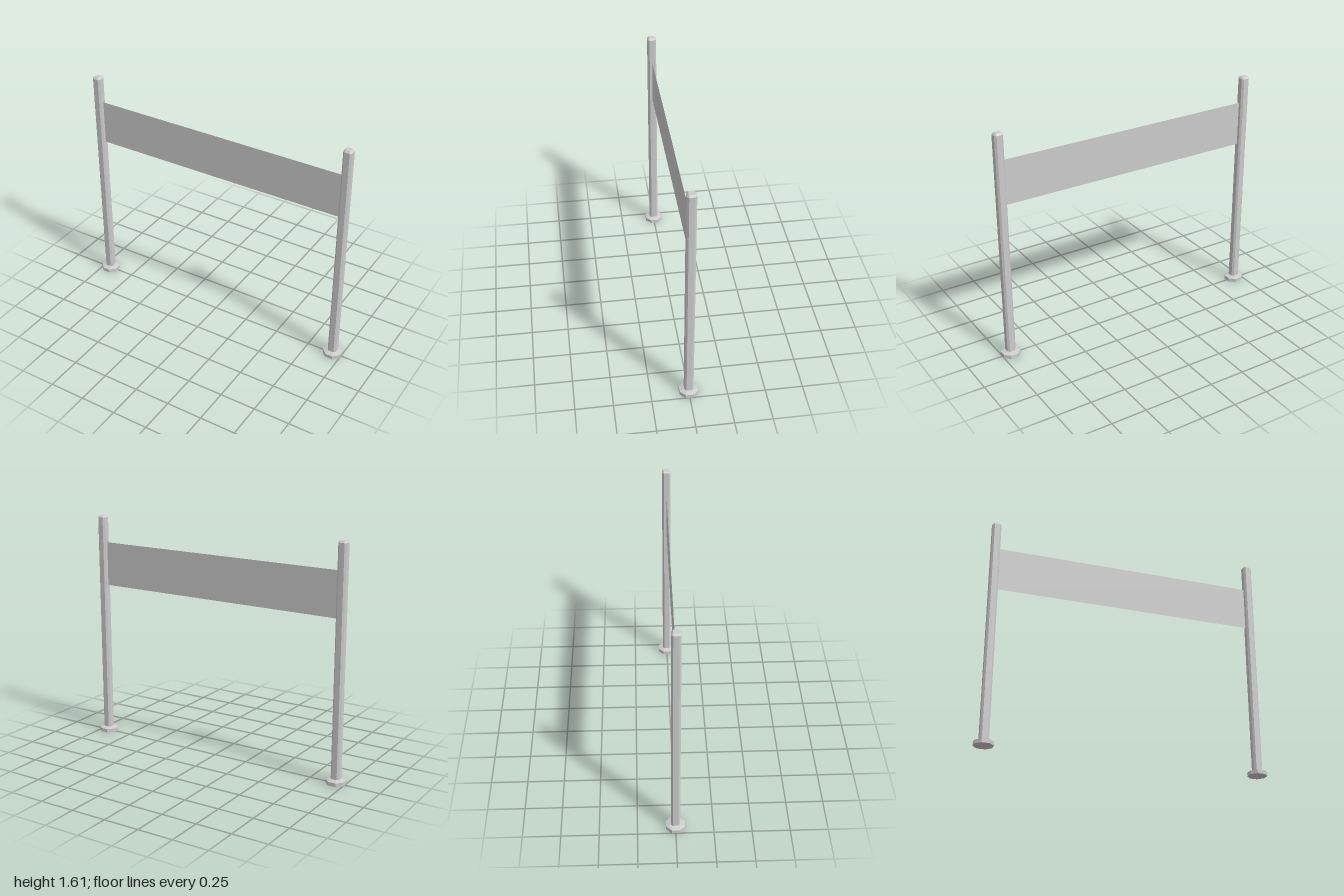
import * as THREE from 'three';

const material = new THREE.MeshStandardMaterial({ color: 0xcccccc, flatShading: true });
const panelMaterial = new THREE.MeshStandardMaterial({ color: 0xcccccc, side: THREE.DoubleSide });

// Square with cut corners: half width h, corner cut c
function ring([y, h, c]) {
  const k = h - c;
  return [[h, -k], [h, k], [k, h], [-k, h], [-h, k], [-h, -k], [-k, -h], [k, -h]]
    .map(([x, z]) => [x, y, z]);
}

// Closed solid through a stack of cut-corner squares, listed bottom to top
function loft(levels) {
  const rings = levels.map(ring);
  const pos = [];
  const tri = (a, b, c) => pos.push(...a, ...b, ...c);
  for (let r = 0; r < rings.length - 1; r++) {
    for (let i = 0; i < 8; i++) {
      const j = (i + 1) % 8;
      const a = rings[r][i], b = rings[r][j], c = rings[r + 1][j], d = rings[r + 1][i];
      tri(a, d, c);
      tri(a, c, b);
    }
  }
  const bottom = rings[0], top = rings[rings.length - 1];
  for (let i = 1; i < 7; i++) {
    tri(bottom[0], bottom[i], bottom[i + 1]);
    tri(top[0], top[i + 1], top[i]);
  }
  const geometry = new THREE.BufferGeometry();
  geometry.setAttribute('position', new THREE.Float32BufferAttribute(pos, 3));
  geometry.computeVertexNormals();
  return geometry;
}

export function createModel() {
  const model = new THREE.Group();
  const add = (parent, name, geometry, mat = material) => {
    const mesh = new THREE.Mesh(geometry, mat);
    mesh.name = name;
    parent.add(mesh);
    return mesh;
  };

  // Octagonal foot with a sloped top, and a chamfered post with a bevelled tip
  const foot = loft([[0, 0.062, 0.036], [0.026, 0.062, 0.036], [0.036, 0.03, 0.012]]);
  const shaft = loft([[0.03, 0.03, 0.012], [1.598, 0.03, 0.012], [1.61, 0.019, 0.004]]);
  for (const side of [-1, 1]) {
    const post = new THREE.Group();
    post.name = side > 0 ? 'leftPost' : 'rightPost';
    post.position.x = side * 0.938;
    add(post, 'foot', foot);
    add(post, 'shaft', shaft);
    model.add(post);
  }

  // Thin banner panel stretched between the posts
  const panel = add(model, 'bannerPanel', new THREE.PlaneGeometry(1.816, 0.31), panelMaterial);
  panel.position.y = 1.265;

  return model;
}
